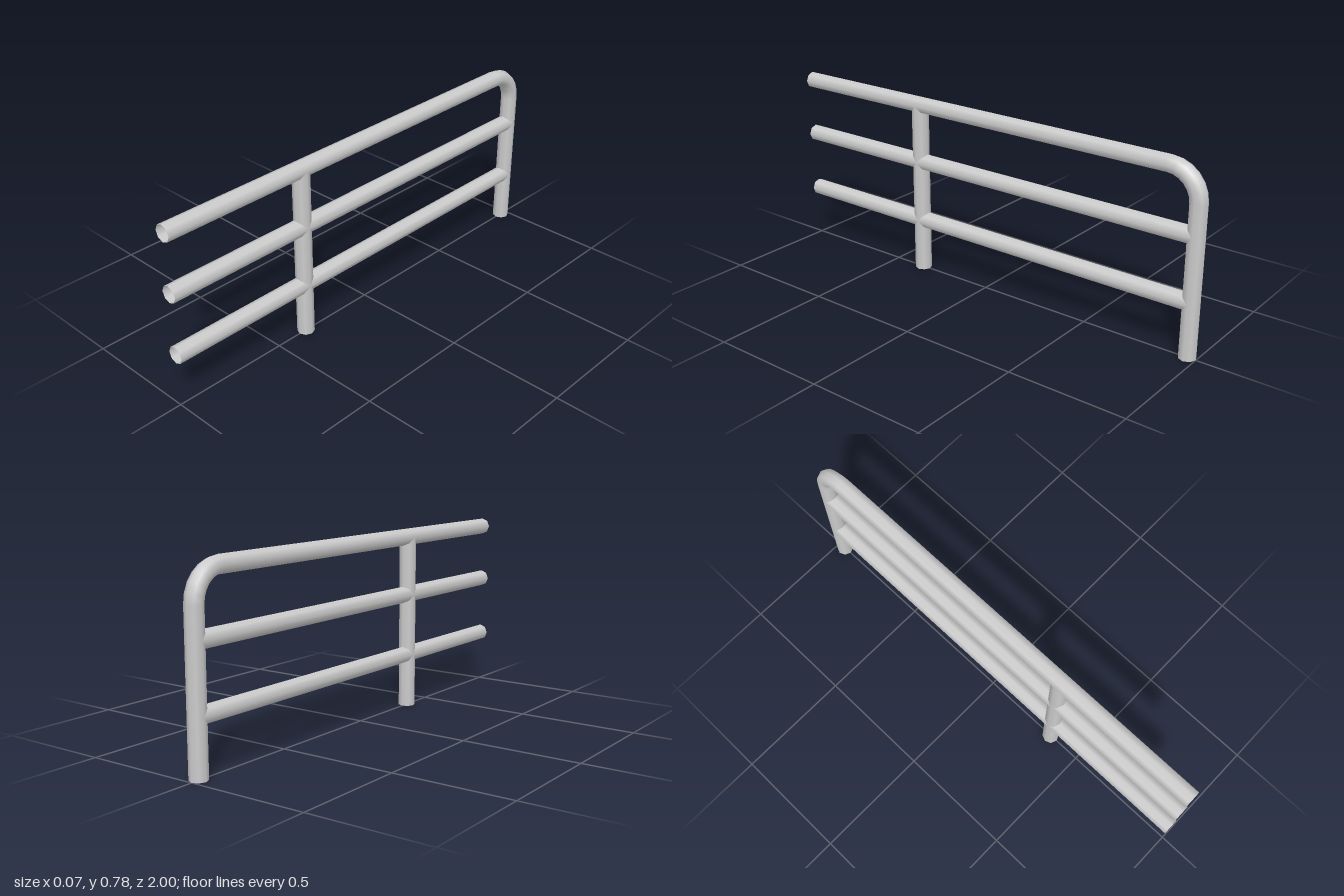
import * as THREE from 'three';

const RADIUS = 0.036, SIDES = 8;
const POST_Z = 0.35, BACK_Z = -0.964, TOP_Y = 0.748, BEND = 0.125;

// Sweeps an open octagonal pipe through rings of { y, z, a }, a being the turn from level to upright
function bentPipe(rings) {
  const pos = [], nor = [], idx = [];
  rings.forEach(({ y, z, a }, i) => {
    for (let j = 0; j <= SIDES; j++) {
      const t = (j / SIDES) * Math.PI * 2;
      const n = [Math.sin(t), Math.cos(t) * Math.cos(a), -Math.cos(t) * Math.sin(a)];
      nor.push(...n);
      pos.push(n[0] * RADIUS, y + n[1] * RADIUS, z + n[2] * RADIUS);
      if (i && j < SIDES) {
        const B = i * (SIDES + 1) + j, A = B - SIDES - 1;
        idx.push(A, A + 1, B, B, A + 1, B + 1);
      }
    }
  });
  const g = new THREE.BufferGeometry();
  g.setAttribute('position', new THREE.Float32BufferAttribute(pos, 3));
  g.setAttribute('normal', new THREE.Float32BufferAttribute(nor, 3));
  g.setIndex(idx);
  return g;
}

export function createModel() {
  const group = new THREE.Group();
  const material = new THREE.MeshStandardMaterial({ color: 0xcccccc, side: THREE.DoubleSide });
  const add = (name, geometry) => {
    const mesh = new THREE.Mesh(geometry, material);
    mesh.name = name;
    group.add(mesh);
    return mesh;
  };
  const pipe = (length) => new THREE.CylinderGeometry(RADIUS, RADIUS, length, SIDES, 1, true);

  // Top rail bending down into the back post
  const rings = [{ y: TOP_Y, z: 1, a: 0 }];
  const steps = 6;
  for (let i = 0; i <= steps; i++) {
    const a = (i / steps) * Math.PI / 2;
    rings.push({
      y: TOP_Y - BEND + BEND * Math.cos(a),
      z: BACK_Z + BEND - BEND * Math.sin(a),
      a,
    });
  }
  rings.push({ y: 0, z: BACK_Z, a: Math.PI / 2 });
  add('topRailAndBackPost', bentPipe(rings));

  // Front post, running up into the top rail
  add('frontPost', pipe(TOP_Y)).position.set(0, TOP_Y / 2, POST_Z);

  // Middle and lower rails, ending inside the back post
  for (const [name, y] of [['middleRail', 0.497], ['lowerRail', 0.23]]) {
    add(name, pipe(1 - BACK_Z).rotateX(Math.PI / 2)).position.set(0, y, (1 + BACK_Z) / 2);
  }
  return group;
}
